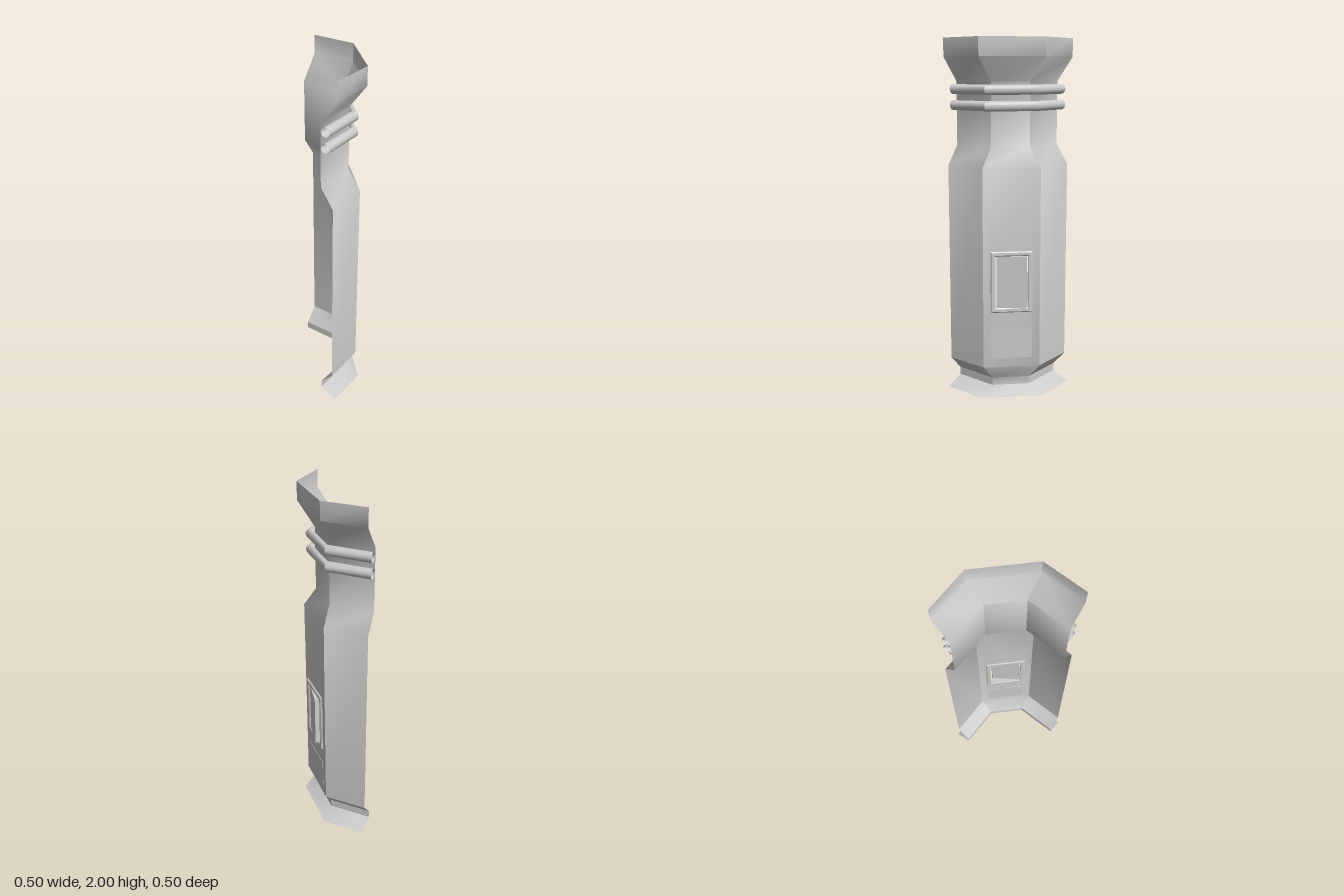
import * as THREE from 'three';
import { mergeGeometries, toCreasedNormals } from 'three/addons/utils/BufferGeometryUtils.js';

const HALF = 0.25;                 // reach of the straight wings
const WALL = 0.225;                // offset of the main wall
const LOW = 0.175, HIGH = 1.31;    // main wall height range
const CREASE = 0.68;

const material = new THREE.MeshStandardMaterial({ color: 0xcccccc, side: THREE.DoubleSide });

// Corner path at offset d: back wing, chamfered corner, side wing
const pathAt = (d) => [[-HALF, -d], [0, -d], [d, 0], [d, HALF]];

// Sweep a profile of [offset, height] points along the corner path
function sweep(profile, skip = () => false) {
  const pos = [];
  for (let j = 0; j < profile.length - 1; j++) {
    const [d0, y0] = profile[j], [d1, y1] = profile[j + 1];
    const lower = pathAt(d0), upper = pathAt(d1);
    for (let i = 0; i < 3; i++) {
      if (skip(i, j)) continue;
      const a = [lower[i][0], y0, lower[i][1]], b = [lower[i + 1][0], y0, lower[i + 1][1]];
      const c = [upper[i + 1][0], y1, upper[i + 1][1]], d = [upper[i][0], y1, upper[i][1]];
      pos.push(...a, ...d, ...b, ...b, ...d, ...c);
    }
  }
  const geo = new THREE.BufferGeometry();
  geo.setAttribute('position', new THREE.Float32BufferAttribute(pos, 3));
  geo.computeVertexNormals();
  return geo;
}

function rectangle(Type, x0, y0, x1, y1) {
  return new Type([[x0, y0], [x1, y0], [x1, y1], [x0, y1]].map(([x, y]) => new THREE.Vector2(x, y)));
}

function add(parent, name, geometry) {
  const mesh = new THREE.Mesh(geometry, material);
  mesh.name = name;
  parent.add(mesh);
  return mesh;
}

export function createModel() {
  const model = new THREE.Group();
  model.name = 'cornerColumn';

  // Column shell, with an opening in the chamfered face
  const profile = [[0.25, 0], [0.15, 0.045], [0.15, 0.09], [WALL, LOW], [WALL, HIGH],
    [0.15, 1.42], [0.15, 1.77], [0.25, 1.9], [0.25, 2]];
  const shell = sweep(profile, (i, j) => i === 1 && j === 3);
  const halfFace = WALL / Math.SQRT2;
  const face = rectangle(THREE.Shape, -halfFace, LOW, halfFace, HIGH);
  face.holes.push(rectangle(THREE.Path, -0.09, 0.53, 0.09, 0.82));
  const faceGeo = new THREE.ShapeGeometry(face).toNonIndexed();
  faceGeo.deleteAttribute('uv');
  faceGeo.translate(0, 0, halfFace).rotateY(Math.PI * 0.75);
  add(model, 'columnShell', toCreasedNormals(mergeGeometries([shell, faceGeo]), CREASE));

  // Two pipes wrapped round the neck
  for (const y of [1.64, 1.727]) {
    const ring = [];
    for (let k = 0; k <= 16; k++) {
      const a = (k / 16) * Math.PI * 2;
      ring.push([0.178 + 0.027 * Math.cos(a), y + 0.027 * Math.sin(a)]);
    }
    add(model, 'neckPipe', toCreasedNormals(sweep(ring), CREASE));
  }

  // Fittings on the chamfered face; local z points out of the face
  const fittings = new THREE.Group();
  fittings.name = 'faceFittings';
  fittings.rotation.y = Math.PI * 0.75;
  fittings.translateZ(halfFace);
  model.add(fittings);

  // Bevelled frame round the opening
  const frame = rectangle(THREE.Shape, -0.111, 0.506, 0.111, 0.844);
  frame.holes.push(rectangle(THREE.Path, -0.096, 0.521, 0.096, 0.829));
  add(fittings, 'panelFrame', new THREE.ExtrudeGeometry(frame, {
    depth: 0.006, bevelThickness: 0.005, bevelSize: 0.006, bevelSegments: 1,
  })).position.z = -0.001;

  // Slanted screen, open at the back, one edge standing proud
  const screen = new THREE.BoxGeometry(0.166, 0.296, 0.03);
  const p = screen.attributes.position;
  for (let i = 0; i < p.count; i++) {
    const x = p.getX(i) - 0.002;
    p.setX(i, x);
    p.setZ(i, p.getZ(i) > 0 ? 0.0175 + 0.173 * x : -0.002);
  }
  screen.setIndex(Array.from(screen.index.array).slice(0, 30));
  screen.computeVertexNormals();
  add(fittings, 'slantedScreen', screen).position.y = 0.676;

  // Shallow cover plate below the frame
  add(fittings, 'coverPlate', new THREE.BoxGeometry(0.23, 0.17, 0.004)).position.y = 0.315;

  return model;
}
